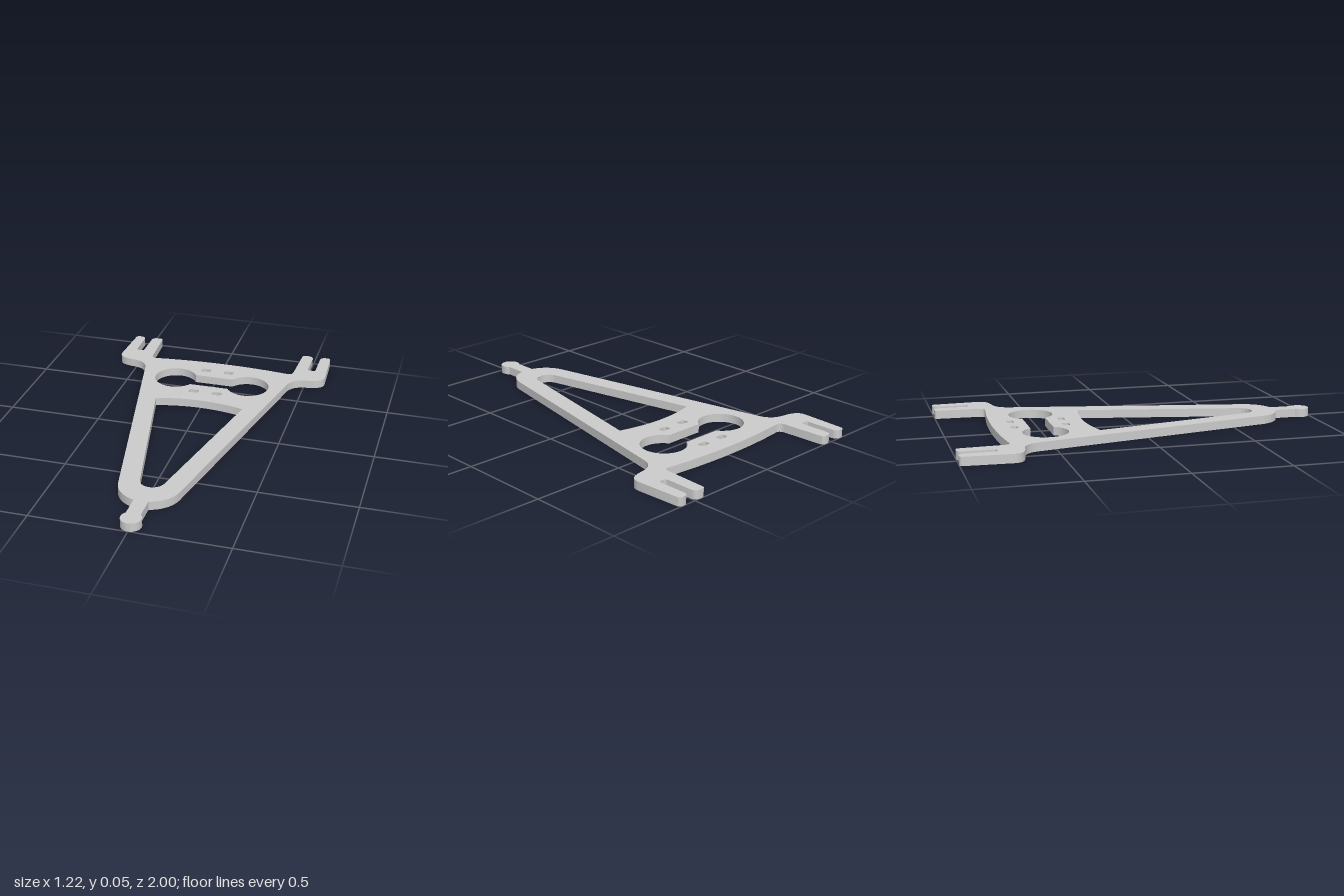
import * as THREE from 'three';
import { toCreasedNormals } from 'three/addons/utils/BufferGeometryUtils.js';

const THICKNESS = 0.045;

// Close a half outline (drawn at x >= 0) with its mirror image.
// Plan coordinates: x to the side, y towards the back (y = -z).
function mirrored(half) {
  const pts = half.getPoints(16);
  const other = pts.filter((p) => p.x > 1e-4).reverse().map((p) => new THREE.Vector2(-p.x, p.y));
  return pts.concat(other);
}

// Rounded rectangular hole
function slot(cx, cy, w, h, r) {
  const p = new THREE.Path();
  const x = w / 2 - r, y = h / 2 - r;
  p.absarc(cx + x, cy + y, r, 0, Math.PI / 2);
  p.absarc(cx - x, cy + y, r, Math.PI / 2, Math.PI);
  p.absarc(cx - x, cy - y, r, Math.PI, Math.PI * 1.5);
  p.absarc(cx + x, cy - y, r, Math.PI * 1.5, Math.PI * 2);
  p.closePath();
  return p;
}

function plateOutline() {
  const p = new THREE.Path();
  // Ball tip and neck
  p.moveTo(0, -1);
  p.absarc(0, -0.948, 0.052, -Math.PI / 2, Math.acos(0.037 / 0.052));
  // Rounded nose, tangent to the straight side
  p.absarc(0, -0.64, 0.16, -Math.acos(0.037 / 0.16), -0.205);
  p.lineTo(0.42, 0.6);
  // Sweep out to the fork
  p.bezierCurveTo(0.433, 0.645, 0.463, 0.672, 0.52, 0.677);
  p.bezierCurveTo(0.575, 0.684, 0.61, 0.7, 0.61, 0.745);
  // Outer prong
  p.lineTo(0.599, 0.982);
  p.quadraticCurveTo(0.598, 1, 0.58, 1);
  p.lineTo(0.568, 1);
  p.quadraticCurveTo(0.541, 0.997, 0.541, 0.97);
  // Fork slot
  p.lineTo(0.541, 0.825);
  p.quadraticCurveTo(0.541, 0.811, 0.527, 0.811);
  p.lineTo(0.511, 0.811);
  p.quadraticCurveTo(0.497, 0.811, 0.497, 0.825);
  // Inner prong
  p.lineTo(0.497, 0.97);
  p.quadraticCurveTo(0.497, 0.997, 0.47, 1);
  p.lineTo(0.45, 1);
  p.quadraticCurveTo(0.434, 1, 0.433, 0.982);
  p.lineTo(0.424, 0.765);
  p.quadraticCurveTo(0.422, 0.729, 0.395, 0.731);
  // Bowed back edge
  p.quadraticCurveTo(0.2, 0.757, 0, 0.757);
  return mirrored(p);
}

function windowOutline() {
  const p = new THREE.Path();
  p.moveTo(0, -0.668);
  p.absarc(0, -0.604, 0.064, -Math.PI / 2, -0.205);
  p.lineTo(0.245, 0.24);
  p.quadraticCurveTo(0.12, 0.275, 0, 0.275);
  return mirrored(p);
}

// Two round holes joined by a straight channel
function dumbbellOutline() {
  const p = new THREE.Path();
  const a = Math.PI - Math.asin(0.06 / 0.118);
  p.moveTo(0, 0.455);
  p.absarc(0.21, 0.515, 0.118, -a, a);
  p.lineTo(0, 0.575);
  return mirrored(p);
}

export function createModel() {
  const group = new THREE.Group();
  group.name = 'forkedPlate';

  const shape = new THREE.Shape(plateOutline());
  shape.holes.push(new THREE.Path(windowOutline()), new THREE.Path(dumbbellOutline()));
  for (const x of [-0.066, 0.066]) {
    for (const y of [0.379, 0.65]) shape.holes.push(slot(x, y, 0.054, 0.036, 0.009));
  }

  let geometry = new THREE.ExtrudeGeometry(shape, { depth: THICKNESS, bevelEnabled: false, curveSegments: 8 });
  geometry.rotateX(-Math.PI / 2);
  geometry = toCreasedNormals(geometry, Math.PI / 6);

  const plate = new THREE.Mesh(geometry, new THREE.MeshStandardMaterial({ color: 0xcccccc }));
  plate.name = 'plate';
  group.add(plate);
  return group;
}
